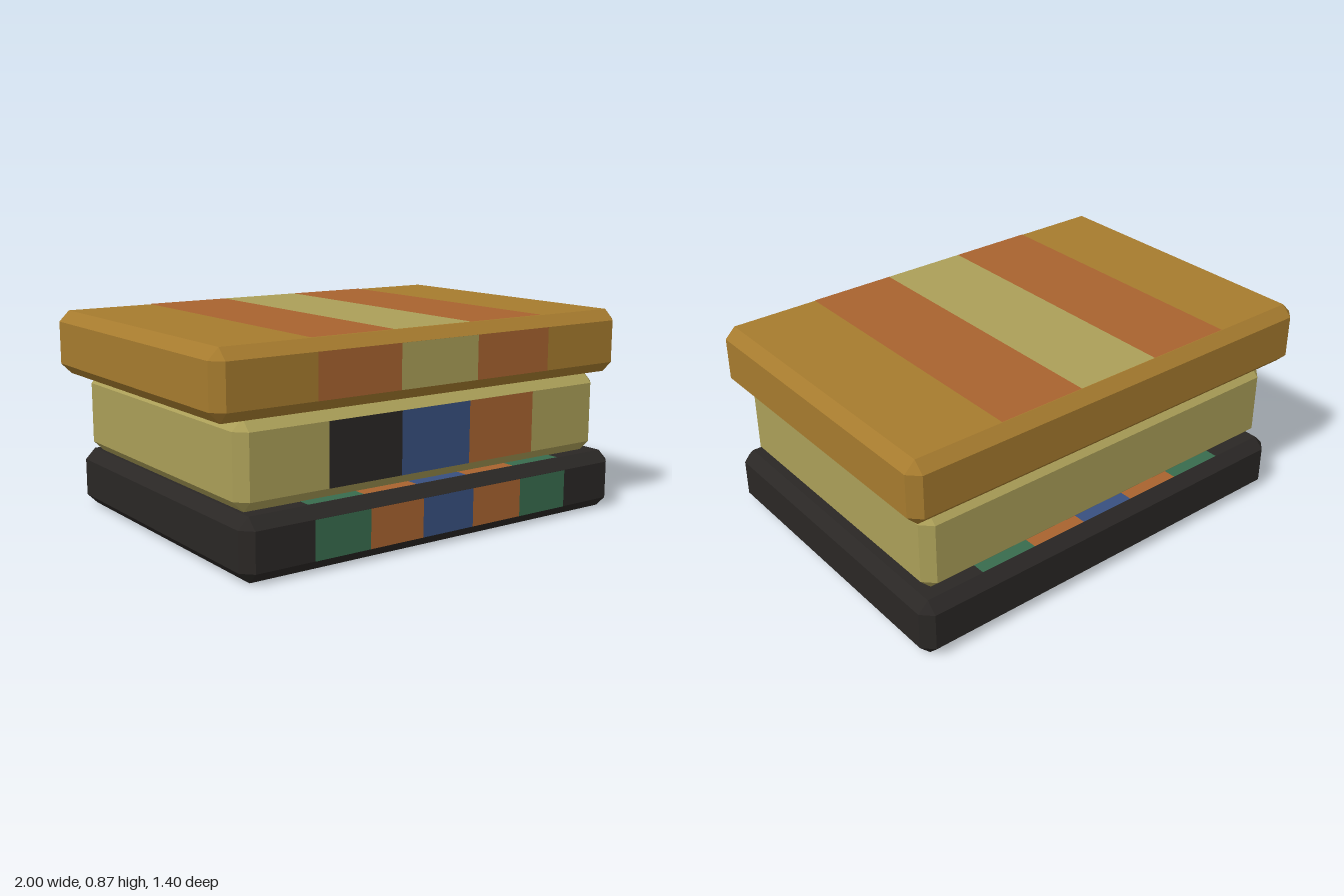
import * as THREE from 'three';

const OCHRE = 0xa67b2e, OLIVE = 0xab9f58, ORANGE = 0xa8632f;
const BLUE = 0x385080, GREEN = 0x386b4e, BLACK = 0x2a2725;
const BEVEL = 0.045;

// Bottom to top: extents, body colour, stripe colours (null = body shows)
const BOOKS = [
  { name: 'bottomBook', x: [-0.9, 0.98], y: [0, 0.25], z: [-0.7, 0.7], open: true,
    color: BLACK, stripes: [null, GREEN, ORANGE, BLUE, ORANGE, GREEN, null] },
  { name: 'middleBook', x: [-0.885, 0.925], y: [0.249, 0.597], z: [-0.642, 0.642],
    color: OLIVE, stripes: [null, BLACK, BLUE, ORANGE, null] },
  { name: 'topBook', x: [-1, 1], y: [0.597, 0.868], z: [-0.688, 0.685],
    color: OCHRE, stripes: [null, ORANGE, OLIVE, ORANGE, null] },
];

function material(color) {
  return new THREE.MeshStandardMaterial({ color, flatShading: true, side: THREE.DoubleSide });
}

// Box with every edge chamfered: four stacked eight-point rings, plus caps
function bevelledBox([x0, x1], [y0, y1], [z0, z1], open) {
  const b = BEVEL, positions = [], index = [];
  const ring = (y, out) => {
    const corners = [[x1, z1, -1, -1, 0], [x1, z0, -1, 1, 1], [x0, z0, 1, 1, 0], [x0, z1, 1, -1, 1]];
    for (const [cx, cz, sx, sz, swap] of corners) {
      const alongZ = [cx + sx * b, y, out ? cz : cz + sz * b];
      const alongX = [out ? cx : cx + sx * b, y, cz + sz * b];
      positions.push(...(swap ? [...alongX, ...alongZ] : [...alongZ, ...alongX]));
    }
  };
  ring(y0, false);
  ring(y0 + b, true);
  ring(y1 - b, true);
  ring(y1, false);
  for (let r = 0; r < 3; r++) {
    for (let i = 0; i < 8; i++) {
      const a = r * 8 + i, c = r * 8 + (i + 1) % 8;
      index.push(a, c, c + 8, a, c + 8, a + 8);
    }
  }
  index.push(24, 26, 28, 24, 28, 30);
  if (!open) index.push(0, 4, 2, 0, 6, 4);
  const geometry = new THREE.BufferGeometry();
  geometry.setAttribute('position', new THREE.Float32BufferAttribute(positions, 3));
  geometry.setIndex(index);
  const flat = geometry.toNonIndexed();
  flat.computeVertexNormals();
  return flat;
}

function makeBook({ name, x, y, z, color, stripes, open }) {
  const book = new THREE.Group();
  book.name = name;
  const body = new THREE.Mesh(bevelledBox(x, y, z, open), material(color));
  body.name = name + 'Body';
  book.add(body);

  // Equal stripes laid just over the flat front and top faces
  const width = (x[1] - x[0] - 2 * BEVEL) / stripes.length;
  const height = y[1] - y[0] - 2 * BEVEL, depth = z[1] - z[0] - 2 * BEVEL;
  const midY = (y[0] + y[1]) / 2, midZ = (z[0] + z[1]) / 2;
  stripes.forEach((stripeColor, i) => {
    if (stripeColor === null) return;
    const cx = x[0] + BEVEL + (i + 0.5) * width;
    const mat = new THREE.MeshStandardMaterial({ color: stripeColor });
    const front = new THREE.Mesh(new THREE.PlaneGeometry(width, height), mat);
    front.name = 'frontStripe';
    front.position.set(cx, midY, z[1] + 0.002);
    const top = new THREE.Mesh(new THREE.PlaneGeometry(width, depth), mat);
    top.name = 'topStripe';
    top.rotation.x = -Math.PI / 2;
    top.position.set(cx, y[1] + 0.002, midZ);
    book.add(front, top);
  });
  return book;
}

export function createModel() {
  const stack = new THREE.Group();
  stack.name = 'bookStack';
  for (const spec of BOOKS) stack.add(makeBook(spec));
  return stack;
}
